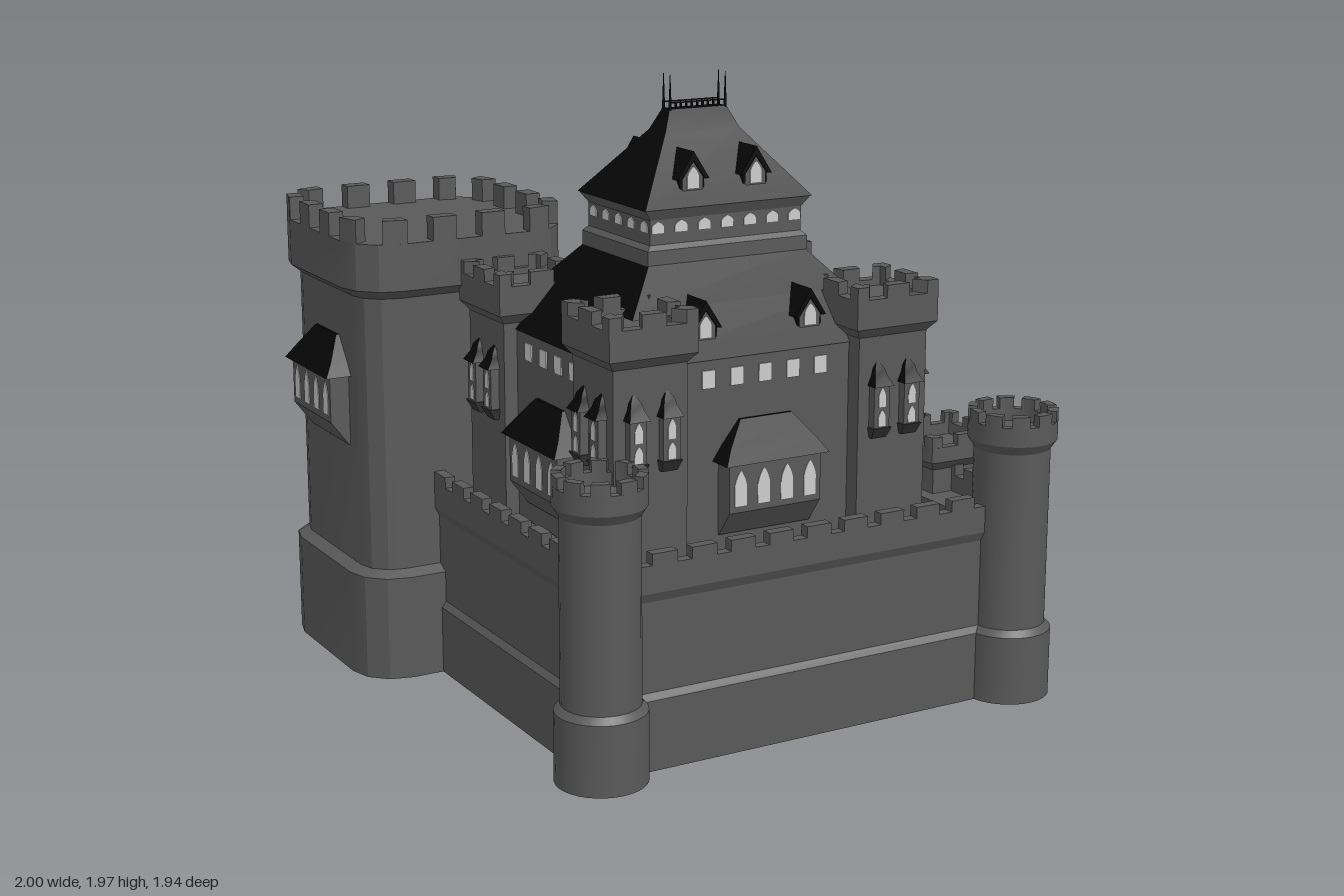
import * as THREE from 'three';
import { toCreasedNormals } from 'three/addons/utils/BufferGeometryUtils.js';

const mat = (color, side = THREE.FrontSide) => new THREE.MeshStandardMaterial({ color, side });
const stone = mat(0x595959, THREE.DoubleSide), wood = mat(0x573d22, THREE.DoubleSide);
const slate = mat(0x070707), glass = mat(0xcccccc), groove = mat(0x3f2b16), iron = mat(0x333333);

function add(parent, name, geo, material, x = 0, y = 0, z = 0) {
  const m = new THREE.Mesh(geo, material);
  m.name = name;
  m.position.set(x, y, z);
  parent.add(m);
  return m;
}
function group(parent, name, x = 0, y = 0, z = 0, rot = 0) {
  const g = new THREE.Group();
  g.name = name;
  g.position.set(x, y, z);
  g.rotation.y = rot;
  parent.add(g);
  return g;
}
const box = (w, h, d) => new THREE.BoxGeometry(w, h, d);
const poly = (pts) => new THREE.Shape(pts.map(([a, b]) => new THREE.Vector2(a, b)));
const extrude = (shape, depth) =>
  new THREE.ExtrudeGeometry(shape, { depth, bevelEnabled: false, curveSegments: 12 });

// Drops the faces lying on the ground, leaving a hollow shell
function openBase(geo) {
  const src = geo.index ? geo.toNonIndexed() : geo, p = src.attributes.position, v = [];
  for (let i = 0; i < p.count; i += 3) {
    if (Math.max(p.getY(i), p.getY(i + 1), p.getY(i + 2)) < 1e-4) continue;
    for (let k = i; k < i + 3; k++) v.push(p.getX(k), p.getY(k), p.getZ(k));
  }
  const g = new THREE.BufferGeometry();
  g.setAttribute('position', new THREE.Float32BufferAttribute(v, 3));
  return toCreasedNormals(g, 0.4);
}

// Outline of a rounded rectangle (seg 0: sharp corners, round: full circle)
function outline(hx, hz, r, seg, round) {
  const pts = [];
  const n = seg === 0 ? 1 : round ? seg : seg + 1;
  for (let c = 0; c < 4; c++) {
    const sx = c === 0 || c === 3 ? 1 : -1, sz = c < 2 ? 1 : -1;
    for (let i = 0; i < n; i++) {
      if (seg === 0) { pts.push([sx * hx, sz * hz]); continue; }
      const a = (c + i / seg) * Math.PI / 2;
      pts.push([sx * (hx - r) + r * Math.cos(a), sz * (hz - r) + r * Math.sin(a)]);
    }
  }
  return pts;
}

// Solid through rings of [halfX, halfZ, y]
function loft(rings, r = 0, seg = 0) {
  const round = seg > 0 && r >= rings[0][0];
  const loops = rings.map(([hx, hz, y]) =>
    outline(hx, hz, Math.max(0.001, r + hx - rings[0][0]), seg, round).map(([x, z]) => [x, y, z]));
  const v = [], n = loops[0].length, last = loops.length - 1;
  const c0 = [0, rings[0][2], 0], c1 = [0, rings[last][2], 0];
  for (let i = 0; i < n; i++) {
    const j = (i + 1) % n;
    v.push(...c0, ...loops[0][i], ...loops[0][j], ...c1, ...loops[last][j], ...loops[last][i]);
    for (let k = 0; k < last; k++) {
      const A = loops[k][i], B = loops[k][j], C = loops[k + 1][i], D = loops[k + 1][j];
      v.push(...A, ...C, ...B, ...B, ...C, ...D);
    }
  }
  const g = new THREE.BufferGeometry();
  g.setAttribute('position', new THREE.Float32BufferAttribute(v, 3));
  return toCreasedNormals(g, 0.4);
}

// Merlons that follow a tower outline; shift moves them by part of a step
function merlons(parent, hx, hz, r, seg, n, t, y, h, fill, shift) {
  const round = seg > 0 && r >= hx;
  const out = outline(hx, hz, r, seg, round);
  const inn = outline(hx - t, hz - t, Math.max(0.001, r - t), seg, round);
  const N = out.length, len = [0];
  for (let i = 0; i < N; i++) {
    const a = out[i], b = out[(i + 1) % N];
    len.push(len[i] + Math.hypot(b[0] - a[0], b[1] - a[1]));
  }
  const L = len[N];
  const at = (ring, s) => {
    s = ((s % L) + L) % L;
    let i = 0;
    while (i < N - 1 && len[i + 1] <= s) i++;
    const f = (s - len[i]) / (len[i + 1] - len[i]), a = ring[i], b = ring[(i + 1) % N];
    return [a[0] + (b[0] - a[0]) * f, -(a[1] + (b[1] - a[1]) * f)];
  };
  for (let k = 0; k < n; k++) {
    const mid = r * Math.PI / 4 + (k + shift) * L / n, half = L / n * fill / 2, a = [], b = [];
    for (let i = -3; i <= 3; i++) {
      a.push(at(out, mid + half * i / 3));
      b.unshift(at(inn, mid + half * i / 3));
    }
    add(parent, 'merlon', extrude(poly([...a, ...b]), h).rotateX(-Math.PI / 2), stone, 0, y, 0);
  }
}

// Tower with plinth, flared head, parapet and merlons
function tower(parent, name, x, z, o) {
  const g = group(parent, name, x, 0, z);
  const { hx, hz = hx, r = 0, seg = 0, inset = 0.02, plinth = 0, plinthH = 0.22,
    headY, gapY, topY, floorY, t = 0.03, n, fill = 0.55, shift = 0 } = o;
  const ring = (d, y) => [hx - d, hz - d, y];
  add(g, name + 'Body', openBase(loft([ring(plinth, 0), ring(plinth, plinthH), ring(inset, plinthH + 0.02),
    ring(inset, headY - 0.03), ring(0, headY), ring(0, gapY), ring(t, gapY), ring(t, floorY)],
  r - plinth, seg)), stone);
  merlons(g, hx, hz, r, seg, n, t, gapY, topY - gapY, fill, shift);
  return g;
}

// Pointed-arch pane
function lancet(parent, w, h, x, y, z) {
  const s = new THREE.Shape();
  s.moveTo(-w / 2, 0); s.lineTo(w / 2, 0); s.lineTo(w / 2, h * 0.55);
  s.quadraticCurveTo(w * 0.4, h * 0.8, 0, h);
  s.quadraticCurveTo(-w * 0.4, h * 0.8, -w / 2, h * 0.55);
  add(parent, 'windowPane', extrude(s, 0.004), glass, x, y, z);
}

// Slim window bay with a pointed cap; +z faces out
function bay(parent, x, y, z, rot = 0) {
  const g = group(parent, 'windowBay', x, y, z, rot);
  add(g, 'baySill', loft([[0.026, 0.02, 0], [0.033, 0.04, 0.035]]), iron);
  add(g, 'bayBody', box(0.056, 0.14, 0.066), stone, 0, 0.105, 0);
  add(g, 'bayCap', loft([[0.035, 0.046, 0.165], [0.022, 0.026, 0.195], [0.018, 0.02, 0.215], [0.002, 0.002, 0.24]]), slate);
  lancet(g, 0.026, 0.05, 0, 0.04, 0.031);
  lancet(g, 0.026, 0.06, 0, 0.1, 0.031);
}

// Wide oriel with four lancets and a hipped roof
function oriel(parent, x, y, z, rot) {
  const g = group(parent, 'oriel', x, y, z, rot);
  add(g, 'orielBody', loft([[0.16, 0.005, -0.03], [0.16, 0.065, 0.05], [0.16, 0.065, 0.21]]), stone);
  add(g, 'orielRoof', loft([[0.18, 0.084, 0.2], [0.15, 0.055, 0.245], [0.09, 0.01, 0.32]]), slate);
  for (let i = 0; i < 4; i++) lancet(g, 0.042, 0.11, (i - 1.5) * 0.081, 0.07, 0.063);
}

// Gabled dormer, front at local z = 0
function dormer(parent, x, y, z, depth) {
  const g = group(parent, 'dormer', x, y, z);
  const house = (w, eave, top) => poly([[-w, -0.01], [w, -0.01], [w, eave], [0, top], [-w, eave]]);
  add(g, 'dormerSides', extrude(house(0.042, 0.04, 0.095), depth), slate, 0, 0, -depth);
  add(g, 'dormerFront', extrude(house(0.036, 0.035, 0.085), 0.004), stone);
  add(g, 'dormerRoof', extrude(poly([[-0.055, 0.03], [-0.04, 0.03], [0, 0.085], [0.04, 0.03], [0.055, 0.03], [0, 0.115]]), depth + 0.01), slate, 0, 0, -depth);
  lancet(g, 0.04, 0.065, 0, 0.003, 0.003);
}

// Curtain wall: local +z is outside, length runs along x
function wall(parent, name, x, z, len, rot) {
  const g = group(parent, name, x, 0, z, rot);
  const profile = poly([[-0.14, 0], [0.015, 0], [0.015, 0.22], [0, 0.24], [0, 0.52], [0.015, 0.55],
    [0.015, 0.635], [-0.02, 0.635], [-0.02, 0.58], [-0.14, 0.58]]);
  add(g, name + 'Body', openBase(extrude(profile, len).rotateY(-Math.PI / 2)), stone, len / 2, 0, 0);
  const n = Math.round(len / 0.135);
  for (let i = 0; i < n; i++)
    add(g, 'merlon', box(0.085, 0.035, 0.035), stone, ((i + 0.5) / n - 0.5) * len, 0.6525, -0.0025);
}

function archShape(half, spring) {
  const s = new THREE.Shape();
  s.moveTo(-half, 0); s.lineTo(half, 0); s.lineTo(half, spring);
  s.absarc(0, spring, half, 0, Math.PI, false);
  s.lineTo(-half, 0);
  return s;
}

export function createModel() {
  const castle = new THREE.Group();
  castle.name = 'castle';

  // Curtain walls and round corner towers
  wall(castle, 'frontWall', 0.06, 0.837, 1.46, 0);
  wall(castle, 'leftWall', 0.815, 0.09, 1.46, Math.PI / 2);
  wall(castle, 'rightWall', -0.69, 0.21, 1.22, -Math.PI / 2);
  wall(castle, 'backWall', 0.145, -0.665, 1.29, Math.PI);
  for (const [x, z] of [[0.793, -0.642], [0.793, 0.826], [-0.67, 0.826]])
    tower(castle, 'cornerTower', x, z, { hx: 0.14, r: 0.14, seg: 8, headY: 0.84, gapY: 0.9, topY: 0.935, floorY: 0.86, n: 10, fill: 0.65 });

  // Gatehouse
  for (const z of [0.4, -0.22]) {
    tower(castle, 'gateTower', 0.834, z, { hx: 0.14, r: 0.025, seg: 2, inset: 0.027, plinth: 0.005, headY: 0.69, gapY: 0.74, topY: 0.775, floorY: 0.7, n: 8 });
    bay(castle, 0.952, 0.415, z, Math.PI / 2);
  }
  const gate = group(castle, 'gate', 0.65, 0, 0.095, Math.PI / 2);
  const frame = archShape(0.145, 0.335);
  frame.holes.push(archShape(0.112, 0.33));
  add(gate, 'gateFrame', openBase(extrude(frame, 0.197)), stone);
  add(gate, 'gateDoor', openBase(extrude(archShape(0.114, 0.33), 0.176)), wood, 0, 0, 0.009);
  for (let i = -2; i <= 2; i++)
    add(gate, 'doorGroove', box(0.005, 0.41 - Math.abs(i) * 0.012, 0.18), groove, i * 0.038, 0.21 - Math.abs(i) * 0.006, 0.097);
  for (const y of [0.235, 0.345]) add(gate, 'doorBand', box(0.222, 0.014, 0.184), iron, 0, y, 0.097);

  // Great corner tower
  const great = tower(castle, 'greatTower', -0.585, -0.565, { hx: 0.375, hz: 0.365, r: 0.15, seg: 3, inset: 0.038,
    plinthH: 0.34, headY: 1.28, gapY: 1.43, topY: 1.505, floorY: 1.43, t: 0.05, n: 16, fill: 0.48, shift: 0.5 });
  oriel(great, 0.337, 0.78, 0, Math.PI / 2);
  oriel(great, -0.337, 0.78, 0, -Math.PI / 2);
  oriel(great, 0, 0.6, -0.327, Math.PI);
  for (const x of [-0.09, 0, 0.09]) bay(great, x, 1.01, -0.327, Math.PI);

  // Rear hall with gabled roof, and the stair tower
  const hall = group(castle, 'hall', -0.32, 0, -0.31);
  add(hall, 'hallBody', openBase(extrude(poly([[-0.12, 0], [0.12, 0], [0.12, 0.74], [0, 0.97], [-0.12, 0.74]]), 0.88).rotateY(Math.PI / 2)), stone);
  add(hall, 'hallRoof', extrude(poly([[-0.145, 0.7], [-0.12, 0.7], [0, 0.945], [0.12, 0.7], [0.145, 0.7], [0, 1.0]]), 0.91).rotateY(Math.PI / 2), slate);
  const hallWindow = group(hall, 'gableWindow', 0.88, 0.74, 0, Math.PI / 2);
  lancet(hallWindow, 0.07, 0.08, 0, 0, 0);
  tower(castle, 'stairTower', 0.1, -0.424, { hx: 0.18, r: 0.18, seg: 8, inset: 0.04, plinth: 0.04, headY: 1.02, gapY: 1.11, topY: 1.14, floorY: 1.08, n: 12, fill: 0.6 });

  // Keep: walls, four square towers and the broad roof
  const keep = group(castle, 'keep', -0.045, 0, 0.283);
  add(keep, 'keepWalls', openBase(loft([[0.5, 0.42, 0], [0.5, 0.42, 1.18]])), stone);
  add(keep, 'mainRoof', loft([[0.505, 0.425, 1.18], [0.375, 0.3, 1.32], [0.275, 0.205, 1.435]]), slate);
  for (const sx of [-1, 1]) for (const sz of [-1, 1]) {
    const t = tower(keep, 'keepTower', sx * 0.422, sz * 0.353, { hx: 0.147, inset: 0.024, plinth: 0.024,
      headY: 1.23, gapY: 1.32, topY: 1.36, floorY: 1.3, t: 0.04, n: 8 });
    for (const d of [-0.055, 0.055]) {
      bay(t, d, 0.885, sz * 0.118, sz > 0 ? 0 : Math.PI);
      bay(t, sx * 0.118, 0.885, d, sx * Math.PI / 2);
    }
  }
  for (let k = 0; k < 4; k++) {
    const side = group(keep, 'keepSide', 0, 0, 0, k * Math.PI / 2);
    const across = k % 2 === 1, d = across ? 0.5 : 0.42;
    oriel(side, 0, 0.67, d, 0);
    const n = across ? 4 : 5, m = across ? 5 : 7;
    for (let i = 0; i < n; i++)
      add(side, 'wallWindow', box(0.045, 0.055, 0.008), glass, (i - (n - 1) / 2) * 0.098, 1.122, d);
    for (let i = 0; i < m; i++)
      lancet(side, 0.042, 0.035, (i - (m - 1) / 2) * 0.08, 1.525, across ? 0.264 : 0.194);
    if (!across) for (const s of [-1, 1]) {
      dormer(side, s * 0.183, 1.235, 0.375, 0.16);
      dormer(side, s * 0.11, 1.645, 0.175, 0.14);
    }
  }

  // Upper storey, steep roof and ridge railing
  add(keep, 'upperStorey', loft([[0.28, 0.208, 1.425], [0.28, 0.208, 1.475], [0.265, 0.195, 1.49],
    [0.265, 0.195, 1.565], [0.29, 0.213, 1.6]]), stone);
  add(keep, 'upperRoof', loft([[0.292, 0.215, 1.598], [0.13, 0.05, 1.8], [0.1, 0.022, 1.865]]), slate);
  for (const sz of [-1, 1]) {
    add(keep, 'ridgeRail', box(0.19, 0.004, 0.004), slate, 0, 1.884, sz * 0.02);
    for (let i = 0; i < 11; i++) add(keep, 'railPost', box(0.003, 0.02, 0.003), slate, (i - 5) * 0.019, 1.874, sz * 0.02);
    for (const sx of [-1, 1])
      add(keep, 'finial', new THREE.CylinderGeometry(0.001, 0.005, 0.11, 6), slate, sx * 0.097, 1.915, sz * 0.02);
  }
  return castle;
}
